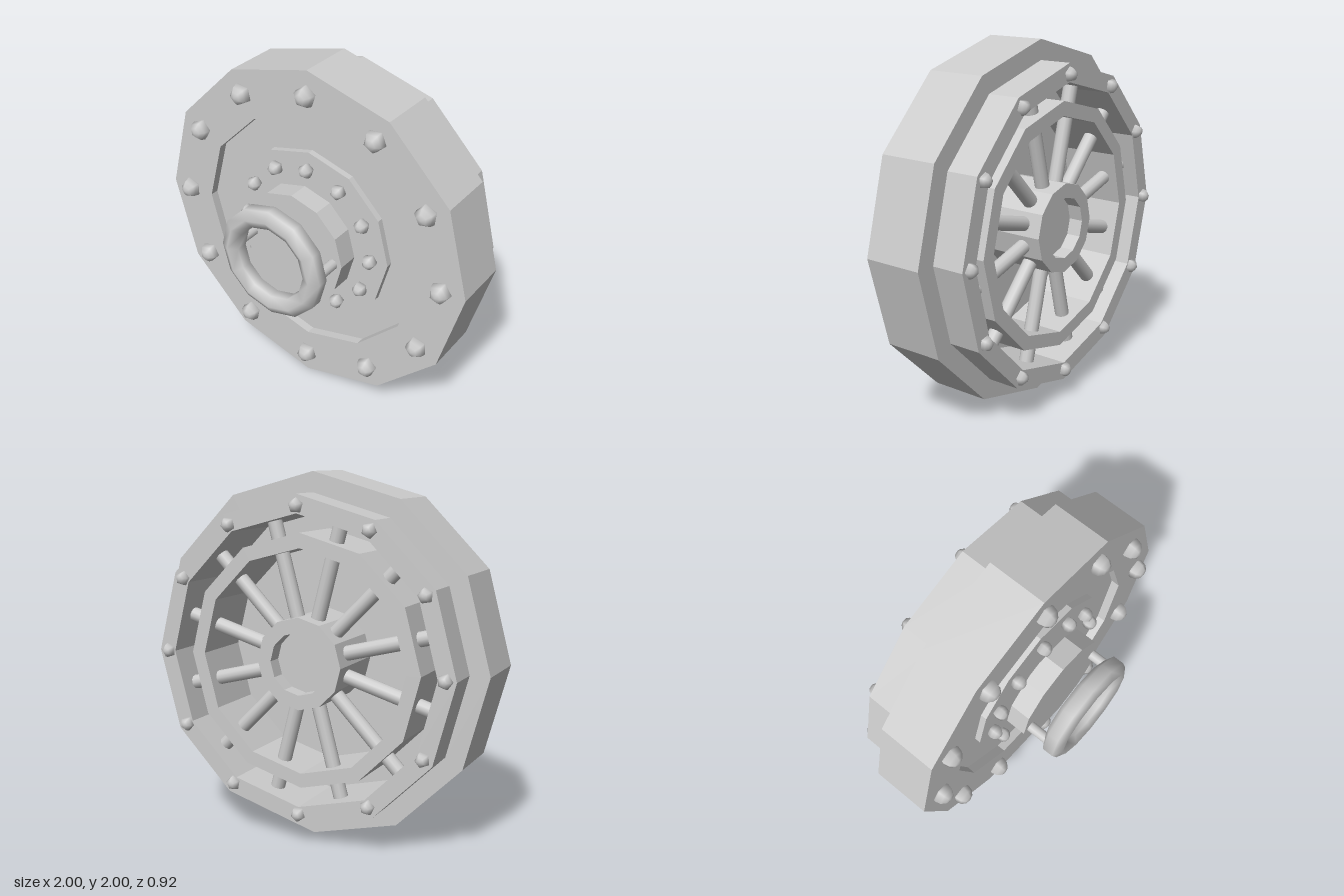
import * as THREE from 'three';

const SIDES = 12;

export function createModel() {
  const flat = new THREE.MeshStandardMaterial({ color: 0xcccccc, flatShading: true });
  const smooth = new THREE.MeshStandardMaterial({ color: 0xcccccc });

  const model = new THREE.Group();
  const door = new THREE.Group();
  door.name = 'vaultDoor';
  door.position.y = 1;
  model.add(door);

  const add = (name, geometry, material, parent = door) => {
    const mesh = new THREE.Mesh(geometry, material);
    mesh.name = name;
    parent.add(mesh);
    return mesh;
  };

  // Turned part around the z axis; the profile is a list of [radius, z]
  const turned = (name, profile, material = flat) => {
    const points = profile.map(([r, z]) => new THREE.Vector2(r, z));
    return add(name, new THREE.LatheGeometry(points, SIDES).rotateX(Math.PI / 2), material);
  };
  const disc = (name, r, z0, z1) => turned(name, [[0, z0], [r, z0], [r, z1], [0, z1]]);
  const ring = (name, r0, r1, z0, z1) =>
    turned(name, [[r0, z0], [r1, z0], [r1, z1], [r0, z1], [r0, z0]]);

  // Stepped outer frame with a bore open to the back
  turned('frame', [
    [0.89, -0.42], [0.89, -0.24], [1, -0.24], [1, 0.09], [0.71, 0.09],
    [0.71, -0.05], [0.79, -0.05], [0.79, -0.42], [0.89, -0.42],
  ]);

  // Recessed front plate with a raised centre
  disc('frontPlate', 0.71, -0.05, 0.04);
  disc('centrePlate', 0.52, 0.04, 0.075);

  // Front hub on a short neck
  disc('neck', 0.18, 0.075, 0.11);
  disc('frontHub', 0.33, 0.11, 0.23);

  // Hand wheel with a six-sided rim, carried on two posts
  const rim = [];
  for (let i = 0; i <= 6; i++) {
    const a = -Math.PI / 2 + (i * Math.PI) / 3;
    rim.push([0.275 + 0.0635 * Math.cos(a), 0.395 + 0.0635 * Math.sin(a)]);
  }
  turned('handWheel', rim, smooth);
  for (const side of [-1, 1]) {
    const post = add('wheelPost', new THREE.CylinderGeometry(0.03, 0.03, 0.16, 12), smooth);
    post.rotation.x = Math.PI / 2;
    post.position.set(side * 0.272, 0, 0.29);
  }

  // Back: bolt carrier ring and hollow hub
  ring('carrierRing', 0.61, 0.69, -0.39, -0.05);
  turned('backHub', [
    [0, -0.33], [0.17, -0.33], [0.17, -0.41], [0.25, -0.41], [0.25, -0.05], [0, -0.05],
  ]).geometry.computeVertexNormals();

  // Locking rods, running from the hub through the carrier into the frame
  const rods = new THREE.Group();
  rods.name = 'lockingRods';
  door.add(rods);
  const rodGeometry = new THREE.CylinderGeometry(0.04, 0.04, 0.56, 12)
    .rotateZ(-Math.PI / 2).translate(0.5, 0, -0.3);
  for (let i = 0; i < SIDES; i++) {
    add('lockingRod', rodGeometry, smooth, rods).rotation.z = ((i + 0.5) * 2 * Math.PI) / SIDES;
  }

  // Circles of five-sided domed rivets
  const rivets = (name, size, radius, z) => {
    const circle = new THREE.Group();
    circle.name = name;
    door.add(circle);
    const geometry = new THREE.SphereGeometry(size, 5, 6)
      .rotateX(Math.PI / 2).rotateZ(Math.PI).translate(radius, 0, z);
    for (let i = 0; i < SIDES; i++) {
      add('rivet', geometry, smooth, circle).rotation.z = (i * 2 * Math.PI) / SIDES;
    }
  };
  rivets('frameRivets', 0.062, 0.86, 0.1);
  rivets('centreRivets', 0.043, 0.42, 0.1);
  rivets('backRivets', 0.042, 0.83, -0.42);

  return model;
}
